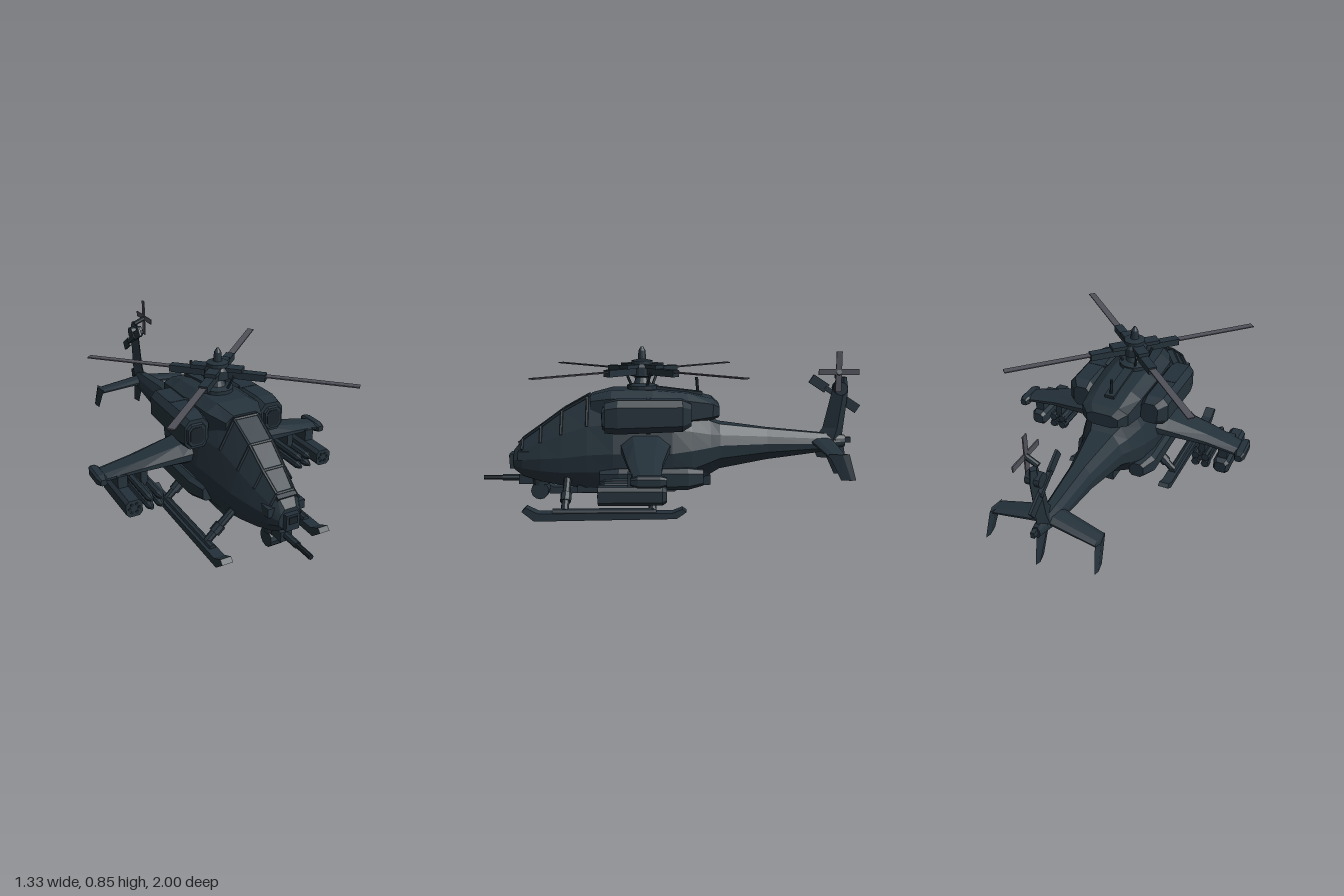
import * as THREE from 'three';

const paint = (name, color) => {
  const m = new THREE.MeshStandardMaterial({ color, flatShading: true });
  m.name = name;
  return m;
};

export function createModel() {
  const body = paint('dark slate paint', 0x24313a);
  const bladeGrey = paint('blade grey', 0x50505a);
  const shade = paint('opening black', 0x1a232a);
  const V = (x, y, z) => new THREE.Vector3(x, y, z);
  const model = new THREE.Group();
  model.name = 'attackHelicopter';

  const add = (parent, name, geo, mat = body, pos = [0, 0, 0], rot = [0, 0, 0]) => {
    const m = new THREE.Mesh(geo, mat);
    m.name = name;
    m.position.set(...pos);
    m.rotation.set(...rot);
    parent.add(m);
    return m;
  };
  const box = (p, name, size, pos, rot, mat) => add(p, name, new THREE.BoxGeometry(...size), mat, pos, rot);
  const cyl = (p, name, r0, r1, h, pos, rot, n = 12, mat = body) =>
    add(p, name, new THREE.CylinderGeometry(r0, r1, h, n), mat, pos, rot);
  // Round bar between two points
  const bar = (p, name, a, b, r, n = 8, mat = body) => {
    const A = V(...a), B = V(...b), d = B.clone().sub(A);
    const m = cyl(p, name, r, r, d.length(), A.clone().add(B).multiplyScalar(0.5).toArray(), [0, 0, 0], n, mat);
    m.quaternion.setFromUnitVectors(V(0, 1, 0), d.normalize());
    return m;
  };
  // Closed skin over rings of equal point count
  const skin = (rings) => {
    const n = rings[0].length, idx = [];
    for (let r = 0; r < rings.length - 1; r++)
      for (let i = 0; i < n; i++) {
        const a = r * n + i, b = r * n + (i + 1) % n;
        idx.push(a, b, b + n, a, b + n, a + n);
      }
    const last = (rings.length - 1) * n;
    for (let i = 1; i < n - 1; i++) idx.push(0, i + 1, i, last, last + i, last + i + 1);
    const g = new THREE.BufferGeometry();
    g.setAttribute('position', new THREE.Float32BufferAttribute(rings.flat(2), 3));
    g.setIndex(idx);
    const flat = g.toNonIndexed();
    flat.computeVertexNormals();
    return flat;
  };
  // Chamfered rectangle ring facing +z
  const oct = (cx, cy, w, h, z, c = 0.4) => [
    [w, -h + h * c], [w, h - h * c], [w - w * c, h], [-w + w * c, h],
    [-w, h - h * c], [-w, -h + h * c], [-w + w * c, -h], [w - w * c, -h],
  ].map(([x, y]) => [cx + x, cy + y, z]);
  // Panels: y-travelling fin rings [y, zBack, zFront, halfThickness, x]
  const fin = (rows) => skin(rows.map(([y, z0, z1, t, x = 0]) =>
    [[x, y, z0], [x - t, y, z0 * 0.65 + z1 * 0.35], [x, y, z1], [x + t, y, z0 * 0.65 + z1 * 0.35]].reverse()
      .map((p, i, a) => a[(4 - i) % 4])));
  // x-travelling wing rings [x, yLow, yHigh, zBack, zFront]
  const wing = (rows) => skin(rows.map(([x, y0, y1, z0, z1]) => {
    const m = (y0 + y1) / 2, h = (y1 - y0) / 2, c = (z1 - z0) * 0.25;
    return [[x, y0, z0 + c], [x, m - h * 0.3, z0], [x, m + h * 0.3, z0], [x, y1, z0 + c],
      [x, y1, z1 - c], [x, m + h * 0.3, z1], [x, m - h * 0.3, z1], [x, y0, z1 - c]];
  }));

  // Fuselage and boom: z, top, middle, bottom heights, then half widths
  const hull = [
    [-0.92, 0.38, 0.35, 0.32, 0.01, 0.022, 0.01],
    [-0.77, 0.395, 0.34, 0.29, 0.02, 0.05, 0.02],
    [-0.5, 0.42, 0.345, 0.255, 0.03, 0.07, 0.025],
    [-0.25, 0.45, 0.345, 0.21, 0.06, 0.115, 0.04],
    [-0.2, 0.47, 0.34, 0.185, 0.08, 0.14, 0.06],
    [-0.1, 0.52, 0.33, 0.135, 0.1, 0.18, 0.1],
    [0.0, 0.56, 0.32, 0.13, 0.11, 0.2, 0.15],
    [0.3, 0.6, 0.32, 0.13, 0.1, 0.2, 0.15],
    [0.435, 0.595, 0.31, 0.13, 0.065, 0.18, 0.13],
    [0.57, 0.52, 0.29, 0.135, 0.06, 0.155, 0.1],
    [0.68, 0.44, 0.28, 0.15, 0.055, 0.125, 0.075],
    [0.78, 0.37, 0.27, 0.175, 0.045, 0.09, 0.05],
    [0.83, 0.31, 0.26, 0.205, 0.03, 0.06, 0.03],
  ];
  add(model, 'fuselage', skin(hull.map(([z, t, m, b, wt, wm, wb]) => {
    const half = [[wb, b], [wm * 0.95, (m + b) / 2], [wm, m], [wt * 0.35 + wm * 0.65, (t + m) / 2], [wt, t]];
    return [...half, ...half.slice().reverse().map(([x, y]) => [-x, y])].map(([x, y]) => [x, y, z]);
  })));

  // Engine hump behind the cockpit
  add(model, 'engineHump', skin([
    oct(0, 0.52, 0.085, 0.035, -0.245), oct(0, 0.53, 0.125, 0.055, -0.21), oct(0, 0.53, 0.14, 0.085, -0.08),
    oct(0, 0.535, 0.15, 0.095, 0.1), oct(0, 0.535, 0.145, 0.097, 0.31), oct(0, 0.53, 0.1, 0.075, 0.42)]));
  box(model, 'humpSpine', [0.05, 0.02, 0.26], [0, 0.62, -0.03], [-0.12, 0, 0]);
  bar(model, 'antenna', [0, 0.57, -0.14], [0, 0.69, -0.13], 0.008);
  box(model, 'bellyKeel', [0.08, 0.05, 0.11], [0, 0.145, -0.15]);

  // Nose sensors and chin gun
  box(model, 'noseSensor', [0.07, 0.08, 0.05], [0, 0.25, 0.83]);
  box(model, 'sensorWindow', [0.045, 0.035, 0.004], [0, 0.262, 0.857], [0, 0, 0], shade);
  box(model, 'noseBrow', [0.1, 0.035, 0.06], [0, 0.355, 0.77], [0.5, 0, 0]);
  cyl(model, 'gunMount', 0.055, 0.045, 0.07, [0, 0.155, 0.7]);
  cyl(model, 'gunDrum', 0.047, 0.047, 0.075, [0, 0.09, 0.7], [0, 0, Math.PI / 2]);
  box(model, 'gunReceiver', [0.06, 0.05, 0.12], [0, 0.15, 0.75]);
  bar(model, 'gunBarrel', [0, 0.155, 0.75], [0, 0.155, 1], 0.013, 8, shade);
  bar(model, 'barrelSleeve', [0, 0.155, 0.78], [0, 0.155, 0.9], 0.018);

  // Canopy crossbars
  for (const [i, w] of [[8, 0.065], [9, 0.06], [10, 0.055], [11, 0.045]])
    bar(model, 'canopyCrossbar', [-w, hull[i][1], hull[i][0]], [w, hull[i][1], hull[i][0]], 0.008, 6);

  // Mirrored parts, drawn for the left side
  for (const s of [1, -1]) {
    const side = new THREE.Group();
    side.name = s > 0 ? 'leftSide' : 'rightSide';
    side.scale.x = s;
    model.add(side);

    // Canopy frames follow the cockpit edges
    for (let i = 8; i < 12; i++) {
      const [z, t, m, , wt, wm] = hull[i], [z2, t2, , , wt2] = hull[Math.min(i + 1, 11)];
      const mid = [wt * 0.35 + wm * 0.65, (t + m) / 2, z];
      if (i < 11) bar(side, 'canopyRail', [wt, t, z], [wt2, t2, z2], 0.008, 6);
      bar(side, 'canopyPost', [wt, t, z], mid, 0.008, 6);
    }
    box(side, 'noseCheekSensor', [0.04, 0.045, 0.06], [0.078, 0.29, 0.77]);

    // Engine nacelle with recessed intake
    add(side, 'engineNacelle', skin([
      oct(0.19, 0.52, 0.045, 0.055, -0.095), oct(0.205, 0.52, 0.07, 0.078, -0.05),
      oct(0.21, 0.515, 0.072, 0.085, 0.27), oct(0.21, 0.51, 0.062, 0.075, 0.335)]));
    add(side, 'intakeLip', skin([oct(0.213, 0.507, 0.052, 0.06, 0.33), oct(0.213, 0.507, 0.046, 0.054, 0.348)]));
    add(side, 'intakeOpening', skin([oct(0.213, 0.507, 0.036, 0.042, 0.346), oct(0.213, 0.507, 0.036, 0.042, 0.351)]), shade);
    box(side, 'nacelleBand', [0.1, 0.172, 0.02], [0.198, 0.515, 0.12]);

    // Lower side fairing and belly rail
    add(side, 'sideFairing', skin([oct(0.15, 0.19, 0.04, 0.04, -0.16), oct(0.17, 0.19, 0.055, 0.055, -0.08),
      oct(0.17, 0.19, 0.055, 0.055, 0.27), oct(0.155, 0.19, 0.04, 0.04, 0.37)]));
    box(side, 'bellyRail', [0.035, 0.04, 0.43], [0.11, 0.122, 0.275]);

    // Stub wing with tip pod
    add(side, 'stubWing', wing([[0.14, 0.28, 0.42, 0.0, 0.27], [0.24, 0.285, 0.39, 0.02, 0.25],
      [0.45, 0.285, 0.343, 0.05, 0.215], [0.62, 0.27, 0.308, 0.055, 0.18]]));
    add(side, 'wingTipPod', skin([oct(0.637, 0.285, 0.018, 0.018, 0.03), oct(0.637, 0.285, 0.027, 0.026, 0.06),
      oct(0.637, 0.285, 0.027, 0.026, 0.16), oct(0.637, 0.285, 0.016, 0.015, 0.195)]));

    // Rocket pod
    box(side, 'outerPylon', [0.05, 0.08, 0.15], [0.547, 0.265, 0.135]);
    add(side, 'rocketPod', skin([oct(0.547, 0.2, 0.03, 0.03, 0.03), oct(0.547, 0.2, 0.042, 0.043, 0.05),
      oct(0.547, 0.2, 0.042, 0.043, 0.345)]));
    for (let k = 0; k < 6; k++)
      cyl(side, 'rocketTube', 0.009, 0.009, 0.006,
        [0.547 + 0.024 * Math.cos(k * Math.PI / 3), 0.2 + 0.024 * Math.sin(k * Math.PI / 3), 0.345],
        [Math.PI / 2, 0, 0], 8, shade);

    // Missile rack
    box(side, 'innerPylon', [0.035, 0.1, 0.13], [0.43, 0.26, 0.135]);
    box(side, 'missileRack', [0.06, 0.03, 0.2], [0.43, 0.205, 0.16]);
    for (const x of [0.403, 0.457])
      for (const y of [0.178, 0.222]) {
        bar(side, 'missile', [x, y, 0.05], [x, y, 0.32], 0.021);
        cyl(side, 'missileTip', 0.008, 0.021, 0.03, [x, y, 0.335], [Math.PI / 2, 0, 0], 8);
        for (const a of [0.785, 2.356]) box(side, 'missileFins', [0.052, 0.004, 0.04], [x, y, 0.08], [0, 0, a]);
      }

    // Landing skid with raised ends
    const sole = new THREE.Shape([[0.75, 0.05], [0.73, 0.07], [0.67, 0.04], [0.0, 0.04], [-0.05, 0.06],
      [-0.07, 0.045], [-0.02, 0.01], [0.69, 0.0]].map(([z, y]) => new THREE.Vector2(-z, y)));
    const skid = new THREE.ExtrudeGeometry(sole, { depth: 0.056, bevelEnabled: false });
    add(side, 'skid', skid, body, [0.242, 0, 0], [0, Math.PI / 2, 0]);
    skid.translate(0, 0, 0);
    bar(side, 'skidTube', [0.265, 0.04, 0.08], [0.265, 0.04, 0.6], 0.018);
    for (const z of [0.54, 0.1]) {
      bar(side, 'skidStrut', [0.12, 0.18, z], [0.265, 0.045, z], 0.02);
      bar(side, 'strutCollar', [0.19, 0.115, z], [0.225, 0.082, z], 0.028);
    }

    // Tailplane with drooping tip
    add(side, 'tailplane', wing([[0, 0.335, 0.375, -0.85, -0.73], [0.265, 0.305, 0.33, -0.865, -0.775]]));
    add(side, 'tailplaneTip', fin([[0.2, -0.915, -0.84, 0.008, 0.28], [0.33, -0.88, -0.775, 0.012, 0.268]]));
  }

  // Tail fins
  add(model, 'tailFin', fin([[0.33, -0.9, -0.74, 0.035], [0.42, -0.91, -0.8, 0.03],
    [0.62, -0.93, -0.845, 0.025], [0.69, -0.92, -0.865, 0.018]]));
  add(model, 'ventralFin', fin([[0.17, -0.945, -0.87, 0.01], [0.36, -0.91, -0.78, 0.03]]));
  cyl(model, 'tailGearbox', 0.035, 0.035, 0.07, [0, 0.63, -0.885], [0, 0, Math.PI / 2]);
  box(model, 'tailLamp', [0.02, 0.03, 0.05], [0, 0.355, -0.925]);

  // Tail rotor and the opposite pair of broad blades
  bar(model, 'tailRotorShaft', [-0.01, 0.69, -0.87], [0.06, 0.72, -0.865], 0.014);
  const tailRotor = new THREE.Group();
  tailRotor.name = 'tailRotor';
  tailRotor.position.set(0.05, 0.72, -0.865);
  box(tailRotor, 'tailBlade', [0.006, 0.21, 0.03], [0, 0, 0], [0, 0, 0], bladeGrey);
  box(tailRotor, 'tailBlade', [0.006, 0.03, 0.21], [0.002, 0, 0], [0, 0, 0], bladeGrey);
  model.add(tailRotor);
  const pair = new THREE.Group();
  pair.name = 'broadTailBlades';
  pair.position.set(-0.032, 0.597, -0.865);
  pair.rotation.x = -0.58;
  for (const d of [-1, 1]) box(pair, 'broadBlade', [0.012, 0.05, 0.1], [0, 0, d * 0.1]);
  box(pair, 'broadBladeRoot', [0.02, 0.025, 0.12], [0, 0, 0]);
  model.add(pair);

  // Main rotor
  const rotor = new THREE.Group();
  rotor.name = 'mainRotor';
  rotor.position.set(0, 0, 0.155);
  model.add(rotor);
  const hub = [[0.08, 0.62], [0.08, 0.65], [0.045, 0.66], [0.03, 0.69], [0.065, 0.7], [0.065, 0.745],
    [0.055, 0.76], [0.055, 0.778], [0.022, 0.785], [0.018, 0.83], [0.006, 0.85], [0, 0.85]];
  add(rotor, 'rotorHub', new THREE.LatheGeometry(hub.map(([r, y]) => new THREE.Vector2(r, y)), 14));
  for (let k = 0; k < 4; k++) {
    const arm = new THREE.Group();
    arm.name = 'rotorArm';
    arm.rotation.y = Math.PI / 4 + k * Math.PI / 2;
    box(arm, 'bladeCuff', [0.19, 0.035, 0.045], [0.15, 0.724, 0]);
    box(arm, 'hubPlate', [0.1, 0.02, 0.06], [0.08, 0.75, 0]);
    bar(arm, 'pitchLink', [0.055, 0.645, 0.02], [0.09, 0.72, 0.025], 0.007, 6);
    box(arm, 'mainBlade', [0.5, 0.006, 0.036], [0.445, 0.73, 0], [0, 0, 0], bladeGrey);
    rotor.add(arm);
  }
  return model;
}
